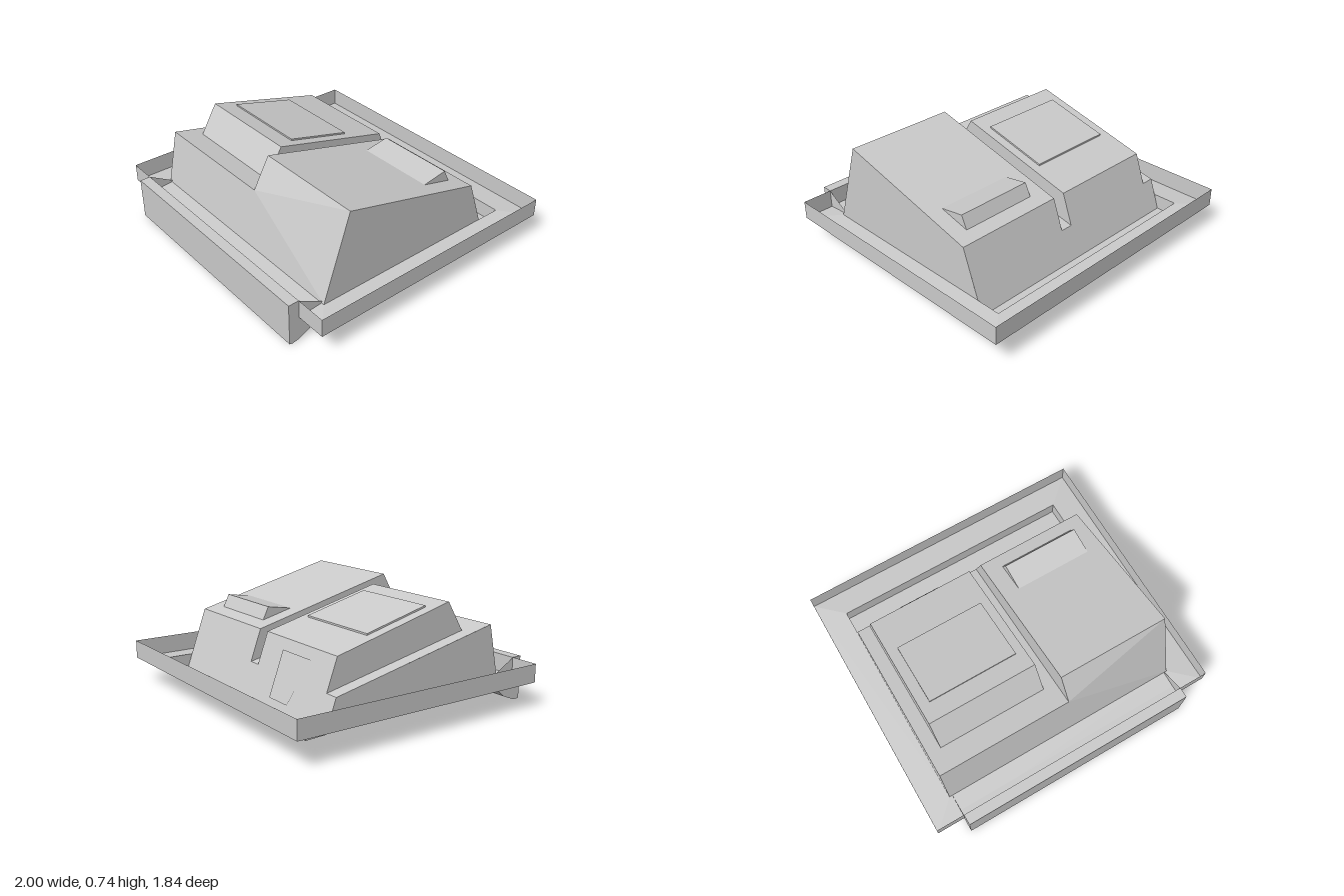
import * as THREE from 'three';

const material = new THREE.MeshStandardMaterial({ color: 0xcccccc, side: THREE.DoubleSide, flatShading: true });

// Sheet mesh made of convex polygons, each a list of [x, y, z] corners
function sheet(name, polygons) {
  const pos = [];
  for (const p of polygons)
    for (let i = 1; i < p.length - 1; i++) pos.push(...p[0], ...p[i], ...p[i + 1]);
  const g = new THREE.BufferGeometry();
  g.setAttribute('position', new THREE.Float32BufferAttribute(pos, 3));
  g.computeVertexNormals();
  const mesh = new THREE.Mesh(g, material);
  mesh.name = name;
  return mesh;
}

// Profiles are lists of [z, y]: side() places one at x, strip() sweeps it from x0 to x1
const side = (x, profile) => profile.map(([z, y]) => [x, y, z]);
const strip = (x0, x1, profile) => profile.slice(1).map(([z, y], i) => {
  const [pz, py] = profile[i];
  return [[x0, py, pz], [x1, py, pz], [x1, y, z], [x0, y, z]];
});

// Closed solid from a profile swept along x
function solid(name, x0, x1, profile) {
  return sheet(name, [...strip(x0, x1, [...profile, profile[0]]), side(x0, profile), side(x1, profile)]);
}

export function createModel() {
  const model = new THREE.Group();

  const L = -0.83, R = 0.82, STEP = 0.075;   // housing sides and step between its halves
  const BL = -0.74, BR = -0.01;              // raised box sides
  const FLOOR = 0.18;
  const foot = [0.69, FLOOR], lowFront = [0.615, 0.535], highFront = [0.505, 0.735];
  const backTop = [-0.48, 0.485], backLow = [-0.553, 0.285], backFoot = [-0.625, 0.085];
  const backFloor = [-0.591, FLOOR];
  const boxFoot = [0.46, 0.502], boxTop = [0.345, 0.694];

  // Tray: thin outer wall and a floor ring around the housing
  const outer = [[-1, 0.85], [1, 0.85], [1, -0.92], [-1, -0.92]];
  const inner = [[L, 0.69], [R, 0.69], [R, -0.755], [L, -0.755]];
  const tray = [];
  outer.forEach(([x, z], i) => {
    const j = (i + 1) % 4, [x2, z2] = outer[j];
    tray.push([[x, 0.165, z], [x2, 0.165, z2], [x2, 0.285, z2], [x, 0.285, z]]);
    tray.push([[x, 0.165, z], [x2, 0.165, z2],
      [inner[j][0], FLOOR, inner[j][1]], [inner[i][0], FLOOR, inner[i][1]]]);
  });
  model.add(sheet('tray', tray));

  // Housing shell, open underneath: twisted front, two sides, lower back
  const at = (x, [z, y]) => [x, y, z];
  model.add(sheet('housingFront', [
    [at(L, foot), at(R, foot), at(STEP, lowFront), at(L, lowFront)],
    [at(R, foot), at(R, highFront), at(STEP, lowFront)],
    [at(STEP, lowFront), at(R, highFront), at(STEP, highFront)],
  ]));
  model.add(sheet('housingSides', [
    side(R, [foot, highFront, backTop, backFloor]),
    side(L, [foot, lowFront, backLow, backFloor]),
  ]));
  model.add(sheet('housingBack', strip(L, R, [backLow, backFoot])));

  // Tall half: sloping top, back and the step wall
  model.add(sheet('tallHalf', [
    ...strip(STEP, R, [highFront, backTop, backLow]),
    side(STEP, [lowFront, highFront, backTop, backLow]),
  ]));

  // Low deck surrounding the raised box
  model.add(sheet('lowDeck', [
    ...strip(L, STEP, [lowFront, boxFoot]),
    ...strip(L, BL, [boxFoot, backLow]),
    ...strip(BR, STEP, [boxFoot, backLow]),
  ]));

  // Raised box on the low deck
  const box = [boxFoot, boxTop, backTop, backLow];
  model.add(sheet('raisedBox', [...strip(BL, BR, box), side(BL, box), side(BR, box)]));

  // Thin panel on the raised box
  model.add(solid('topPanel', -0.67, -0.07, [[0.22, 0.664], [0.22, 0.675], [-0.22, 0.563], [-0.22, 0.552]]));

  // Small hatch outlined on the back slope
  model.add(sheet('backHatch', [
    [[-0.52, 0.42, -0.509], [-0.23, 0.42, -0.509], [-0.23, 0.14, -0.611], [-0.42, 0.14, -0.611]],
  ]));

  // Wedge on the tall half
  model.add(solid('wedge', 0.19, 0.71, [[-0.18, 0.561], [-0.35, 0.59], [-0.39, 0.508]]));

  // Rear ledge below the tray
  const ledge = [backFoot, [-0.755, 0.08], [-0.755, FLOOR]];
  model.add(sheet('rearLedge', [
    ...strip(L, R, ledge),
    ...[L, R].map((x) => side(x, [backFloor, ...ledge])),
  ]));

  // Curved front lip
  model.add(solid('frontLip', -0.81, 0.8, [
    [0.65, 0.17], [0.72, 0.095], [0.78, 0.04], [0.82, 0.022], [0.865, 0.005],
    [0.9, 0], [0.92, 0.005], [0.92, 0.285], [0.85, 0.285], [0.85, 0.17],
  ]));

  return model;
}
